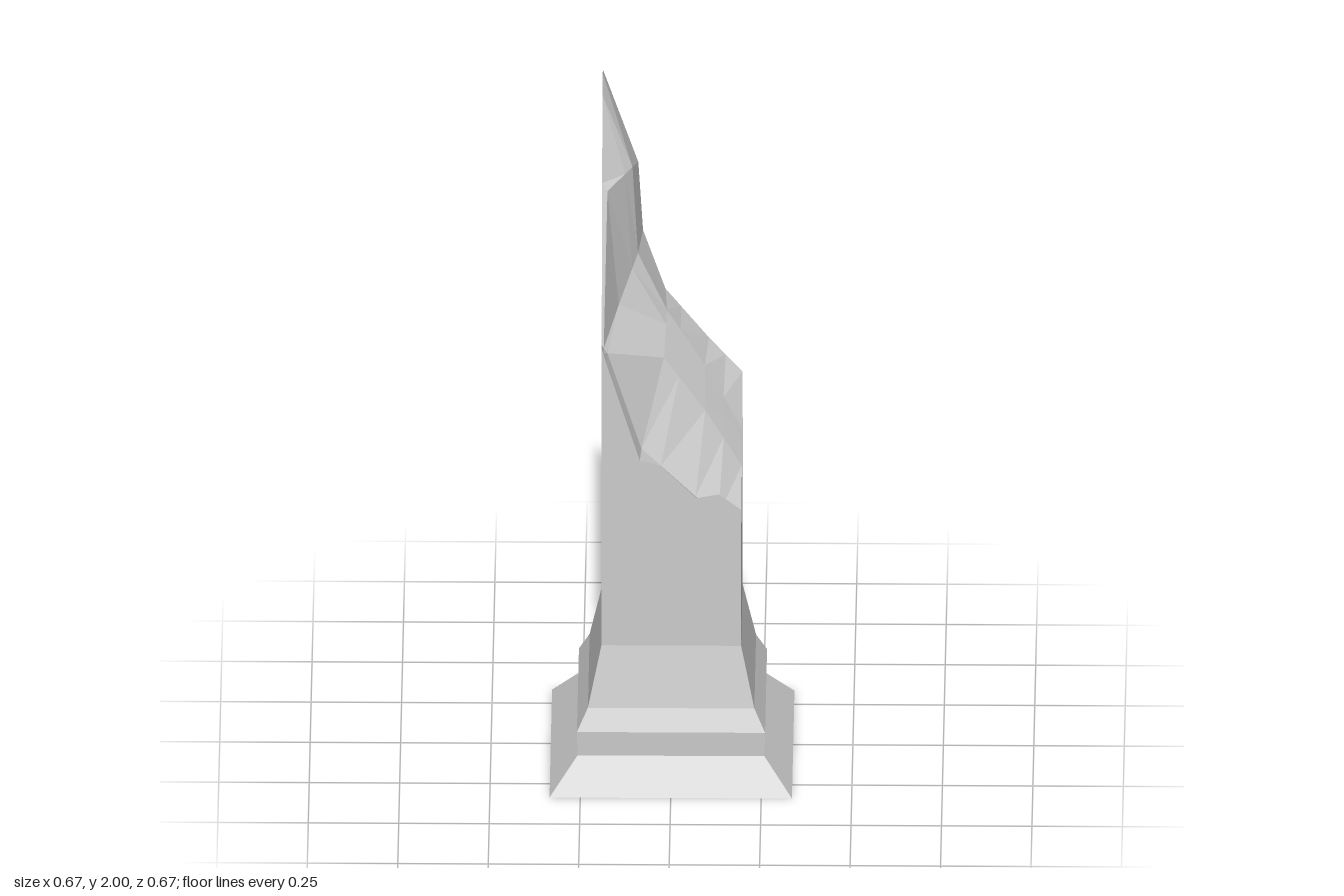
import * as THREE from 'three';

const H = 0.193; // half width of the shaft
const SHAFT_BOTTOM = 0.4;

const material = new THREE.MeshStandardMaterial({ color: 0xcccccc, flatShading: true });

function addPart(group, name, geometry) {
  const flat = geometry.index ? geometry.toNonIndexed() : geometry;
  flat.computeVertexNormals();
  const mesh = new THREE.Mesh(flat, material);
  mesh.name = name;
  group.add(mesh);
}

// Square moulding from [halfWidth, height] pairs, bottom to top
function squareMoulding(profile) {
  const points = profile.map(([w, y]) => new THREE.Vector2(w * Math.SQRT2, y));
  return new THREE.LatheGeometry(points, 4, Math.PI / 4);
}

function trianglesGeometry(triangles) {
  return new THREE.BufferGeometry().setFromPoints(triangles);
}

// Cross-sections of the broken top, front to back, each running left to right in x
function breakRows() {
  const rows = [
    [[-H, 1.32, H], [-0.188, 1.3, H], [-0.18, 1.27, H], [-0.087, 0.97, H], [0.07, 0.855, H], [H, 0.82, H]],
    [[-H, 1.305, 0.15], [-0.187, 1.295, 0.15], [-0.177, 1.28, 0.15], [-0.083, 0.98, 0.138], [0.067, 0.83, 0.132], [H, 0.72, 0.127]],
    [[-H, 1.74, 0.02], [-0.178, 1.72, 0.03], [-0.147, 1.36, 0.01], [-0.022, 1.2, 0.015], [0.092, 1.03, 0], [H, 0.86, 0]],
    [[-H, 2, -0.14], [-0.11, 1.745, -0.072], [-0.095, 1.47, -0.09], [-0.015, 1.29, -0.1], [0.09, 1.12, -0.1], [H, 0.93, -0.09]],
    [[-H, 1.985, -H], [-0.095, 1.7, -H], [-0.082, 1.49, -H], [-0.02, 1.31, -H], [0.1, 1.16, -H], [H, 1.055, -H]],
  ].map((row) => row.map((p) => new THREE.Vector3(...p)));

  // Extra section just before the peak
  const shoulder = rows[2].map((p, i) => p.clone().lerp(rows[3][i], 0.7));
  shoulder[0].set(-H, 1.96, -0.085);
  rows.splice(3, 0, shoulder);

  // Extra columns that carry the small bumps of the front rim
  for (const [col, t, frontY] of [[4, 0.5, 0.867], [3, 0.36, 0.955]]) {
    for (const row of rows) row.splice(col + 1, 0, row[col].clone().lerp(row[col + 1], t));
    rows[0][col + 1].y = frontY;
  }
  return rows;
}

export function createModel() {
  const group = new THREE.Group();
  group.name = 'brokenColumn';

  // Stepped base
  addPart(group, 'plinth', squareMoulding([[0, 0], [0.335, 0], [0.258, 0.092]]));
  addPart(group, 'collar', squareMoulding([[0.258, 0.092], [0.26, 0.165], [0.23, 0.225]]));
  addPart(group, 'flare', squareMoulding([[0.23, 0.225], [H, SHAFT_BOTTOM]]));

  // Fractured top surface
  const rows = breakRows();
  const top = [];
  for (let r = 0; r < rows.length - 1; r++) {
    for (let c = 0; c < rows[r].length - 1; c++) {
      const a = rows[r][c], b = rows[r][c + 1];
      const d = rows[r + 1][c + 1], e = rows[r + 1][c];
      top.push(a, b, d, a, d, e);
    }
  }
  addPart(group, 'brokenTop', trianglesGeometry(top));

  // Shaft walls dropped from the rim of the break
  const rim = [
    ...rows[0],
    ...rows.slice(1).map((row) => row.at(-1)),
    ...rows.at(-1).slice(0, -1).reverse(),
    ...rows.slice(1, -1).map((row) => row[0]).reverse(),
  ];
  const walls = [];
  rim.forEach((p, i) => {
    const q = rim[(i + 1) % rim.length];
    const pb = p.clone().setY(SHAFT_BOTTOM);
    const qb = q.clone().setY(SHAFT_BOTTOM);
    walls.push(pb, qb, q, pb, q, p);
  });
  addPart(group, 'shaft', trianglesGeometry(walls));

  return group;
}
